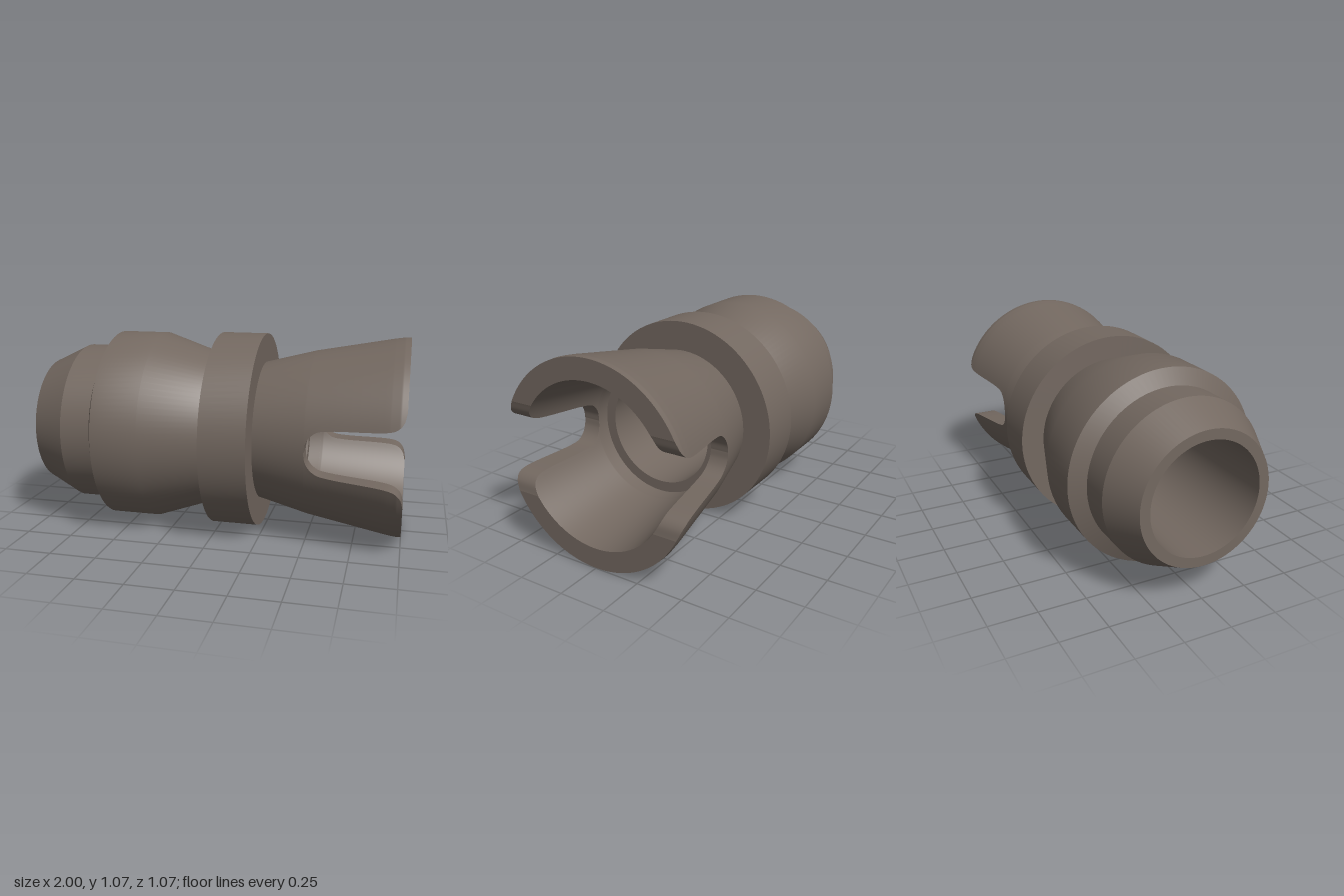
import * as THREE from 'three';
import { mergeGeometries, toCreasedNormals } from 'three/addons/utils/BufferGeometryUtils.js';

const AXIS_Y = 0.535; // height of the axis of revolution
const SLOT_X = 0.505; // closed end of the slot

// Piecewise linear lookup in [x, value] pairs
function lookup(table, x) {
  let i = 1;
  while (i < table.length - 1 && x > table[i][0]) i++;
  const [x0, a] = table[i - 1], [x1, b] = table[i];
  return a + (b - a) * (x - x0) / (x1 - x0);
}
const outerR = (x) => lookup([[0.23, 0.38], [0.5, 0.45], [0.92, 0.527], [0.97, 0.534], [1, 0.533]], x);
const innerR = (x) => lookup([[0.44, 0.35], [0.52, 0.354], [1, 0.424]], x);

// Revolve [x, radius] points around the x axis
function revolve(points) {
  const g = new THREE.LatheGeometry(points.map(([x, r]) => new THREE.Vector2(r, x)), 96);
  g.rotateZ(-Math.PI / 2);
  return toCreasedNormals(g, 0.35);
}

// Grid surface from f(i, j) -> [x, y, z]
function sheet(f, nu, nv, flip = false) {
  const pos = [], idx = [];
  for (let i = 0; i <= nu; i++) for (let j = 0; j <= nv; j++) pos.push(...f(i, j));
  for (let i = 0; i < nu; i++) for (let j = 0; j < nv; j++) {
    const a = i * (nv + 1) + j, b = a + nv + 1;
    if (flip) idx.push(a, a + 1, b, b, a + 1, b + 1);
    else idx.push(a, b, a + 1, b, b + 1, a + 1);
  }
  const g = new THREE.BufferGeometry();
  g.setAttribute('position', new THREE.Float32BufferAttribute(pos, 3));
  g.setIndex(idx);
  g.computeVertexNormals();
  return g;
}

// One half of the slotted mouth, its edges following the slot outline
function armGeometry() {
  // Slot outline: x and half width
  const outline = new THREE.CatmullRomCurve3([
    [SLOT_X, 0], [0.511, 0.04], [0.532, 0.08], [0.57, 0.11], [0.63, 0.122],
    [0.92, 0.145], [0.96, 0.16], [0.987, 0.19], [1, 0.24],
  ].map(([x, h]) => new THREE.Vector3(x, h, 0)), false, 'centripetal');
  const stations = outline.getPoints(64);
  const nu = 64, nv = 48, nr = 4;
  const point = (x, h, r, t) => {
    const a = Math.asin(Math.min(h / r, 1));
    const angle = a + (Math.PI - 2 * a) * t;
    return [x, r * Math.sin(angle), r * Math.cos(angle)];
  };
  const radius = (x, s) => innerR(x) + (outerR(x) - innerR(x)) * s;
  const at = (i, s, t) => point(stations[i].x, stations[i].y, radius(stations[i].x, s), t);
  return mergeGeometries([
    sheet((i, j) => at(i, 1, j / nv), nu, nv),           // outside
    sheet((i, j) => at(i, 0, j / nv), nu, nv, true),     // inside
    sheet((i, j) => at(i, j / nr, 0), nu, nr),           // slot wall, front
    sheet((i, j) => at(i, j / nr, 1), nu, nr, true),     // slot wall, back
    sheet((i, j) => at(nu, i / nr, j / nv), nr, nv, true), // end face
  ]);
}

export function createModel() {
  const group = new THREE.Group();
  const material = new THREE.MeshStandardMaterial({ color: 0x736860 });
  const add = (name, geometry) => {
    const mesh = new THREE.Mesh(geometry, material);
    mesh.name = name;
    mesh.position.y = AXIS_Y;
    group.add(mesh);
    return mesh;
  };

  // Hollow body: tapered nose, shoulder, collar, neck, then back through the bore
  add('sleeveBody', revolve([
    [-1, 0.297], [-1, 0.35], [-0.81, 0.442], [-0.645, 0.442], [-0.605, 0.525],
    [-0.35, 0.525], [-0.02, 0.412],
    [-0.02, 0.535], [0.228, 0.535], [0.228, 0.38],
    [0.5, 0.45], [SLOT_X, outerR(SLOT_X)],
  ]));
  add('bore', revolve([
    [SLOT_X, innerR(SLOT_X)], [0.44, 0.35], [0.44, 0.294], [-0.74, 0.294], [-1, 0.297],
  ]));

  // Two mirrored arms form the flared mouth with a slot through both sides
  const arm = armGeometry();
  add('upperArm', arm);
  add('lowerArm', arm).rotation.x = Math.PI;
  return group;
}
